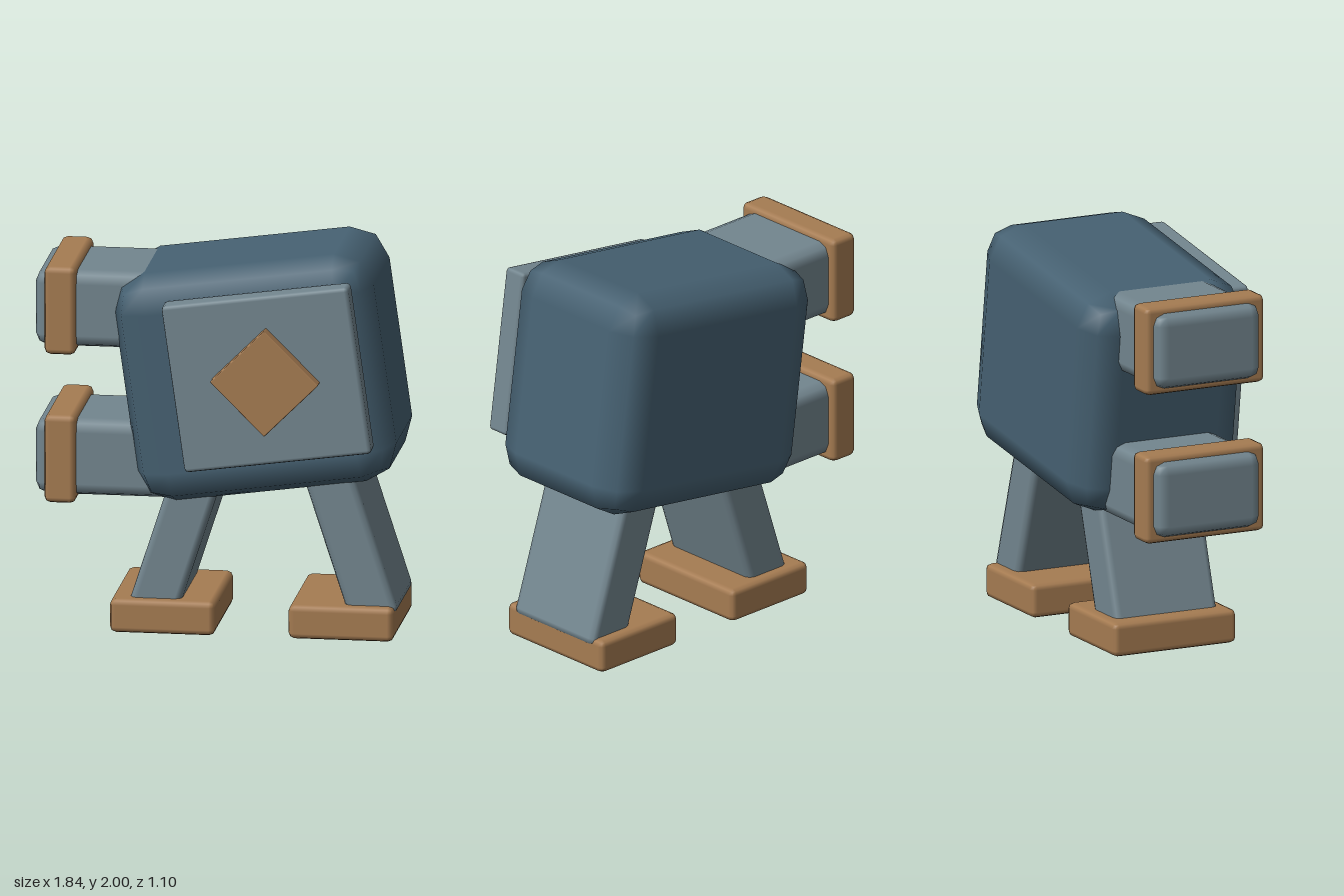
import * as THREE from 'three';
import { RoundedBoxGeometry } from 'three/addons/geometries/RoundedBoxGeometry.js';

export function createModel() {
  const model = new THREE.Group();
  model.name = 'boxyRobot';

  const mat = (name, color) => {
    const m = new THREE.MeshStandardMaterial({ color });
    m.name = name;
    return m;
  };
  const slateBlue = mat('slateBlue', 0x466172);
  const steelGrey = mat('steelGrey', 0x73868f);
  const bronze = mat('bronze', 0xa67c52);

  // Bevelled box: size, bevel radius, centre and tilt about z in degrees
  const block = (name, material, size, radius, centre, tilt = 0) => {
    const mesh = new THREE.Mesh(new RoundedBoxGeometry(...size, 1, radius), material);
    mesh.name = name;
    mesh.position.set(...centre);
    mesh.rotation.z = THREE.MathUtils.degToRad(tilt);
    model.add(mesh);
    return mesh;
  };

  const midZ = -0.09;

  // Tilted body with chest panel and diamond
  block('body', slateBlue, [1.334, 1.188, 0.92], 0.18, [0.2, 1.342, midZ], 8);
  block('chestPanel', steelGrey, [0.96, 0.87, 0.13], 0.02, [0.295, 1.4, 0.415], 8);
  block('chestDiamond', bronze, [0.39, 0.39, 0.12], 0.006, [0.295, 1.4, 0.49], 45);

  // Two stubby arms on the right side, each with a cuff
  for (const [label, y] of [['upper', 1.66], ['lower', 0.888]]) {
    block(label + 'Arm', steelGrey, [0.8, 0.397, 0.6], 0.065, [-0.525, y, midZ]);
    block(label + 'Cuff', bronze, [0.16, 0.456, 0.675], 0.03, [-0.79, y, midZ]);
  }

  // Splayed legs and feet
  for (const [label, legX, footX, tilt] of [['right', -0.19, -0.267, -18], ['left', 0.67, 0.643, 18]]) {
    block(label + 'Leg', steelGrey, [0.25, 0.9, 0.58], 0.035, [legX, 0.53, -0.087], tilt);
    block(label + 'Foot', bronze, [0.535, 0.175, 0.695], 0.03, [footX, 0.0875, -0.087]);
  }

  return model;
}
